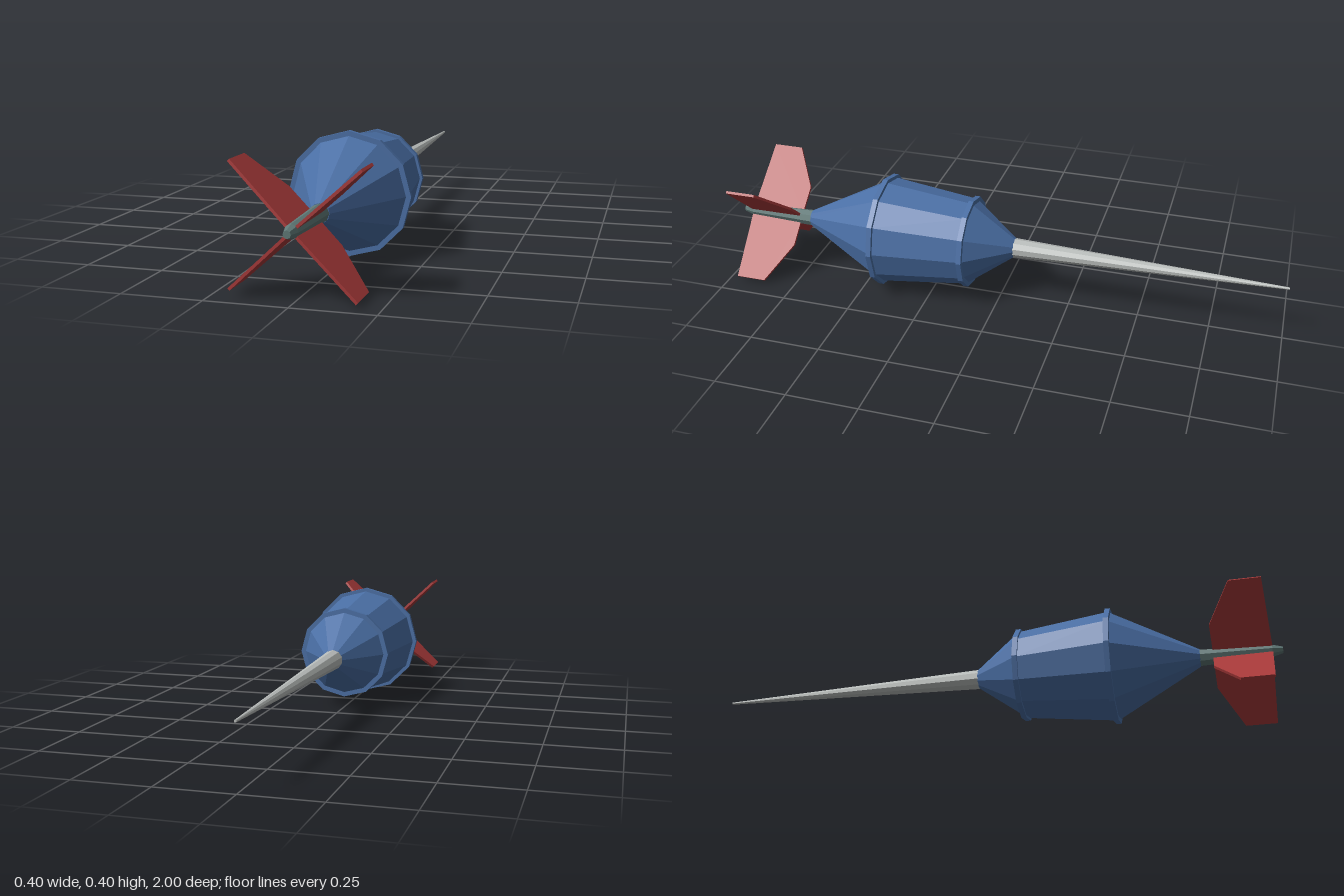
import * as THREE from 'three';

const material = (name, color) => {
  const m = new THREE.MeshStandardMaterial({ color, flatShading: true });
  m.name = name;
  return m;
};

// Faceted solid of revolution along z from [radius, z] pairs, listed from back to front
function turned(name, profile, sides, mat) {
  const points = profile.map(([r, z]) => new THREE.Vector2(r, z));
  const geometry = new THREE.LatheGeometry(points, sides).rotateX(Math.PI / 2);
  const mesh = new THREE.Mesh(geometry, mat);
  mesh.name = name;
  return mesh;
}

export function createModel() {
  const blue = material('barrelBlue', 0x4a6fa5);
  const red = material('finRed', 0xa83a3a);
  const steel = material('needleGrey', 0xb8bcba);
  const slate = material('shaftSlate', 0x5f7876);

  const dart = new THREE.Group();
  dart.name = 'dart';
  dart.position.y = 0.204;

  // Barrel: tapered at both ends, widest towards the fins
  dart.add(turned('barrel',
    [[0, -0.05], [0.034, -0.05], [0.153, 0.11], [0.19, 0.428], [0.03, 0.726], [0, 0.726]], 12, blue));

  // Raised bands on the two shoulders of the barrel
  for (const [name, r, z] of [['rearBand', 0.163, 0.11], ['frontBand', 0.202, 0.428]]) {
    dart.add(turned(name, [[0, z - 0.009], [r, z - 0.009], [r, z + 0.009], [0, z + 0.009]], 12, blue));
  }

  // Long needle pointing backwards
  dart.add(turned('needle', [[0, -1], [0.004, -1], [0.035, -0.04], [0, -0.04]], 10, steel));

  // Shaft with a bevelled end
  dart.add(turned('shaft',
    [[0, 0.71], [0.03, 0.71], [0.022, 0.965], [0.012, 1], [0, 1]], 8, slate));

  // Four thin fins, each slightly out of true: [name, angle in degrees, tip shift along z]
  const fins = [
    ['upperLeftFin', 41.7, 0], ['upperRightFin', 135.2, -0.008],
    ['lowerRightFin', 223, 0], ['lowerLeftFin', 314.4, 0.01],
  ];
  const thickness = 0.009;
  for (const [name, angle, shift] of fins) {
    const outline = new THREE.Shape([
      [0.012, 0.77], [0.114, 0.769 + shift / 2], [0.262, 0.848 + shift],
      [0.262, 0.955 + shift], [0.012, 0.967],
    ].map(([r, z]) => new THREE.Vector2(r, z)));
    const geometry = new THREE.ExtrudeGeometry(outline, { depth: thickness, bevelEnabled: false })
      .translate(0, 0, -thickness / 2)
      .rotateX(Math.PI / 2);
    const fin = new THREE.Mesh(geometry, red);
    fin.name = name;
    fin.rotation.z = THREE.MathUtils.degToRad(angle);
    dart.add(fin);
  }

  const model = new THREE.Group();
  model.name = 'model';
  model.add(dart);
  return model;
}
